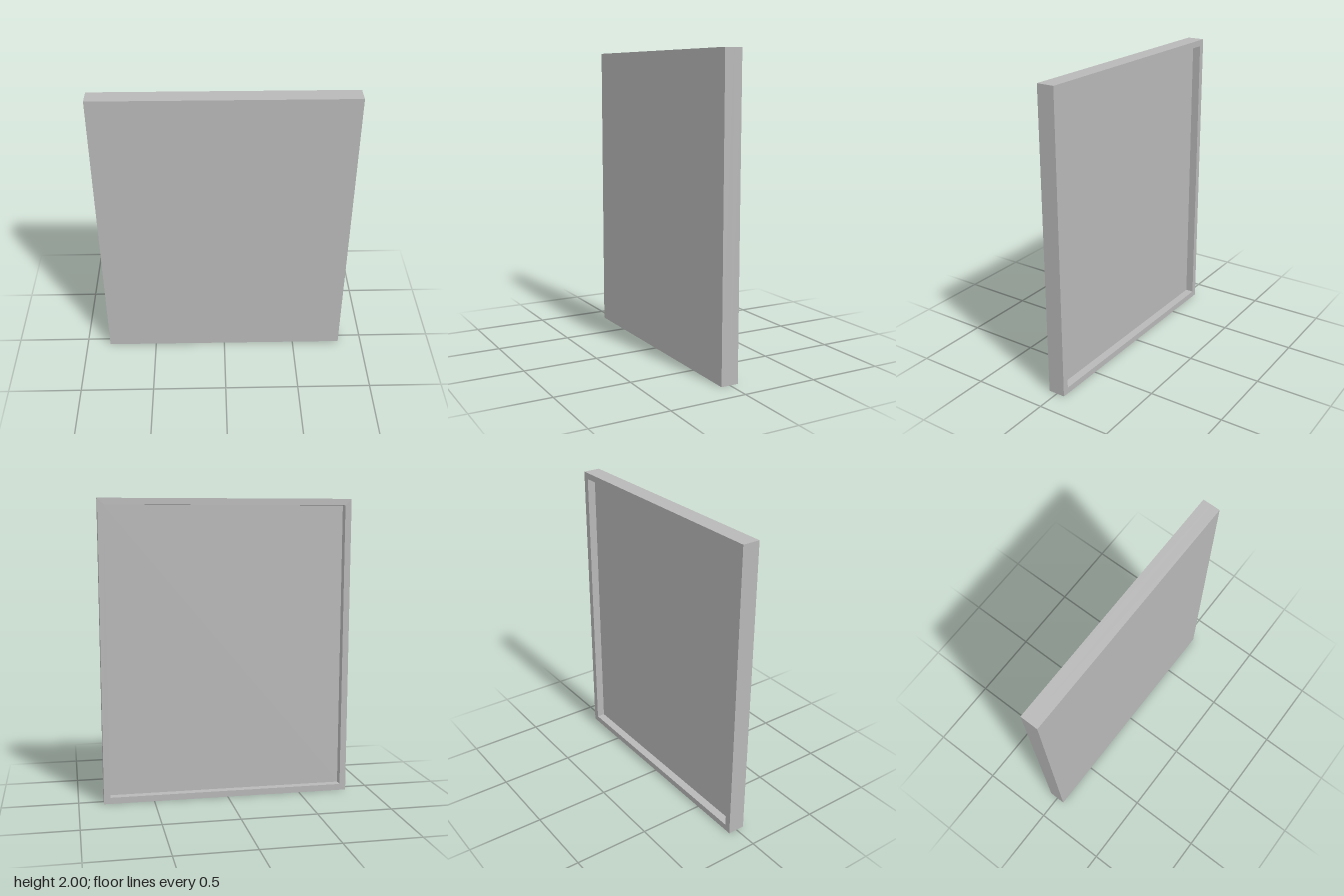
import * as THREE from 'three';

const W = 1.67, H = 2, D = 0.116; // overall size
const RIM = 0.042;                // rim width around the back
const RECESS = 0.055;             // depth of the hollow in the back

// Rectangle corners centred on x = 0 and y = H / 2
function corners(w, h) {
  const x = w / 2, y = h / 2, c = H / 2;
  return [[-x, c - y], [x, c - y], [x, c + y], [-x, c + y]].map(([a, b]) => new THREE.Vector2(a, b));
}

export function createModel() {
  const grey = new THREE.MeshStandardMaterial({ color: 0xb8b8b8 });
  grey.name = 'plain grey';

  const group = new THREE.Group();
  group.name = 'panel';

  const add = (name, shape, depth, z) => {
    const geometry = new THREE.ExtrudeGeometry(shape, { depth, bevelEnabled: false });
    const mesh = new THREE.Mesh(geometry, grey);
    mesh.name = name;
    mesh.position.z = z;
    group.add(mesh);
  };

  // Flat front slab
  add('frontSlab', new THREE.Shape(corners(W, H)), D - RECESS, -D / 2 + RECESS);

  // Raised rim that frames the hollow back
  const rim = new THREE.Shape(corners(W, H));
  rim.holes.push(new THREE.Path(corners(W - 2 * RIM, H - 2 * RIM).reverse()));
  add('backRim', rim, RECESS, -D / 2);

  // Very slight turn about the vertical axis
  group.rotation.y = -0.0025;
  return group;
}
